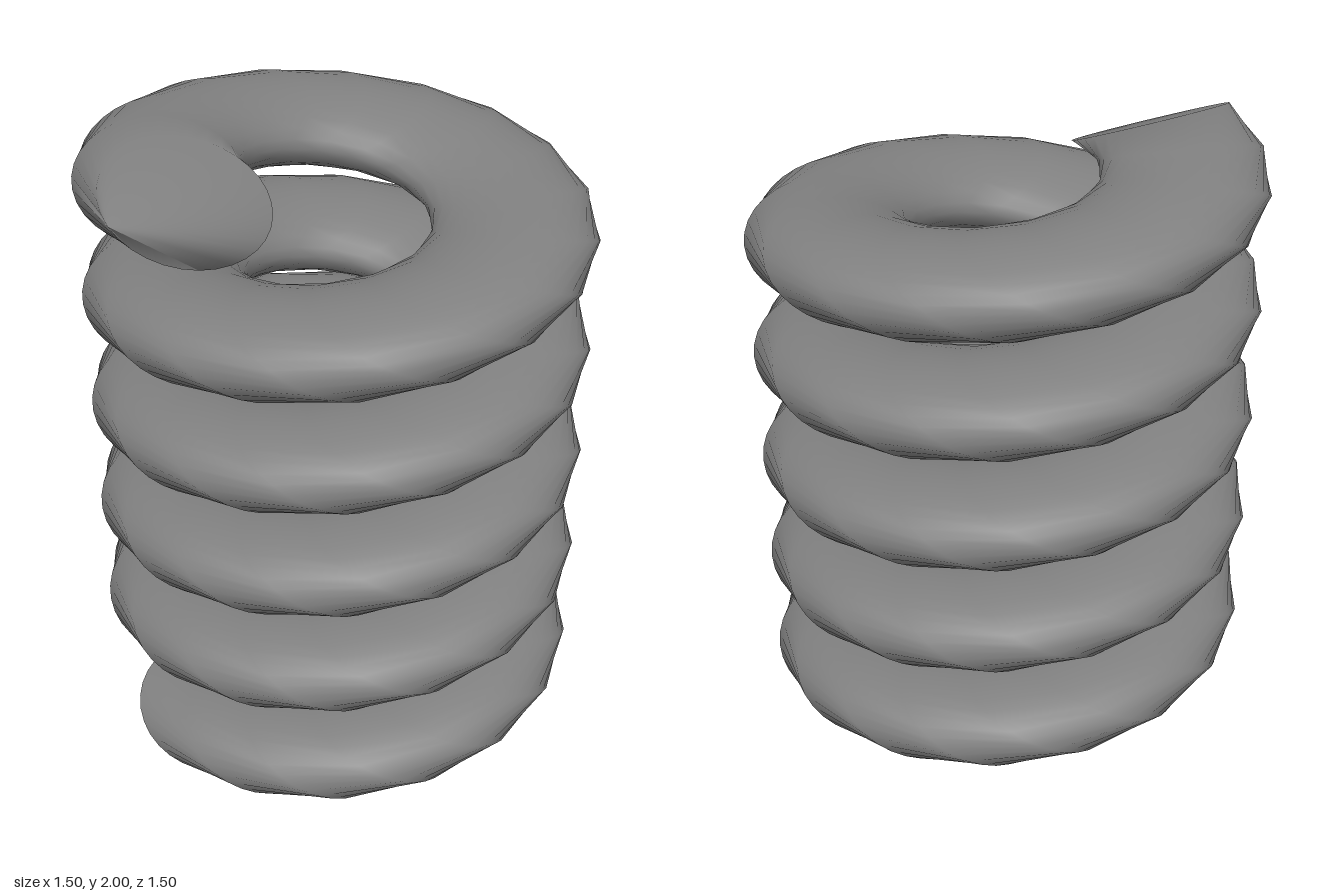
import * as THREE from 'three';

const TURNS = 5, STEPS = 16, SIDES = 32;      // coil resolution
const R = 0.51, PITCH = 0.36;                 // helix radius and rise per turn
const RX = 0.24, RY = 0.1, RZ = 0.213;        // tilted circular section

// Point of the tilted section, screwed around the y axis
function coilPoint(step, side) {
  const t = (step / STEPS) * Math.PI * 2, a = (side / SIDES) * Math.PI * 2;
  const x = -R - RX * Math.cos(a), z = -RZ * Math.sin(a);
  const y = RY + RY * Math.sin(a) + (PITCH * step) / STEPS;
  return [x * Math.cos(t) + z * Math.sin(t), y, -x * Math.sin(t) + z * Math.cos(t)];
}

function makeGeometry(positions, index) {
  const g = new THREE.BufferGeometry();
  g.setAttribute('position', new THREE.Float32BufferAttribute(positions, 3));
  g.setIndex(index);
  g.computeVertexNormals();
  return g;
}

export function createModel() {
  const group = new THREE.Group();
  group.name = 'coilSpring';
  const steel = new THREE.MeshStandardMaterial({ color: 0x808080 });
  steel.name = 'grey steel';

  // Coil wire, with its upper end closed and smoothly shaded into the wire
  const positions = [], index = [], last = TURNS * STEPS;
  for (let i = 0; i <= last; i++) {
    for (let j = 0; j < SIDES; j++) positions.push(...coilPoint(i, j));
  }
  for (let i = 0; i < last; i++) {
    for (let j = 0; j < SIDES; j++) {
      const k = (j + 1) % SIDES;
      const a = i * SIDES + j, b = a + SIDES, c = i * SIDES + k, d = c + SIDES;
      index.push(a, b, c, b, d, c);
    }
  }
  const top = last * SIDES;
  for (let j = 1; j < SIDES - 1; j++) index.push(top, top + j + 1, top + j);
  const coil = new THREE.Mesh(makeGeometry(positions, index), steel);
  coil.name = 'coilWire';

  // Flat cut face at the lower end
  const rim = [], fan = [];
  for (let j = 0; j < SIDES; j++) rim.push(...coilPoint(0, j));
  for (let j = 1; j < SIDES - 1; j++) fan.push(0, j, j + 1);
  const cut = new THREE.Mesh(makeGeometry(rim, fan), steel);
  cut.name = 'lowerCutFace';

  group.add(coil, cut);
  return group;
}
